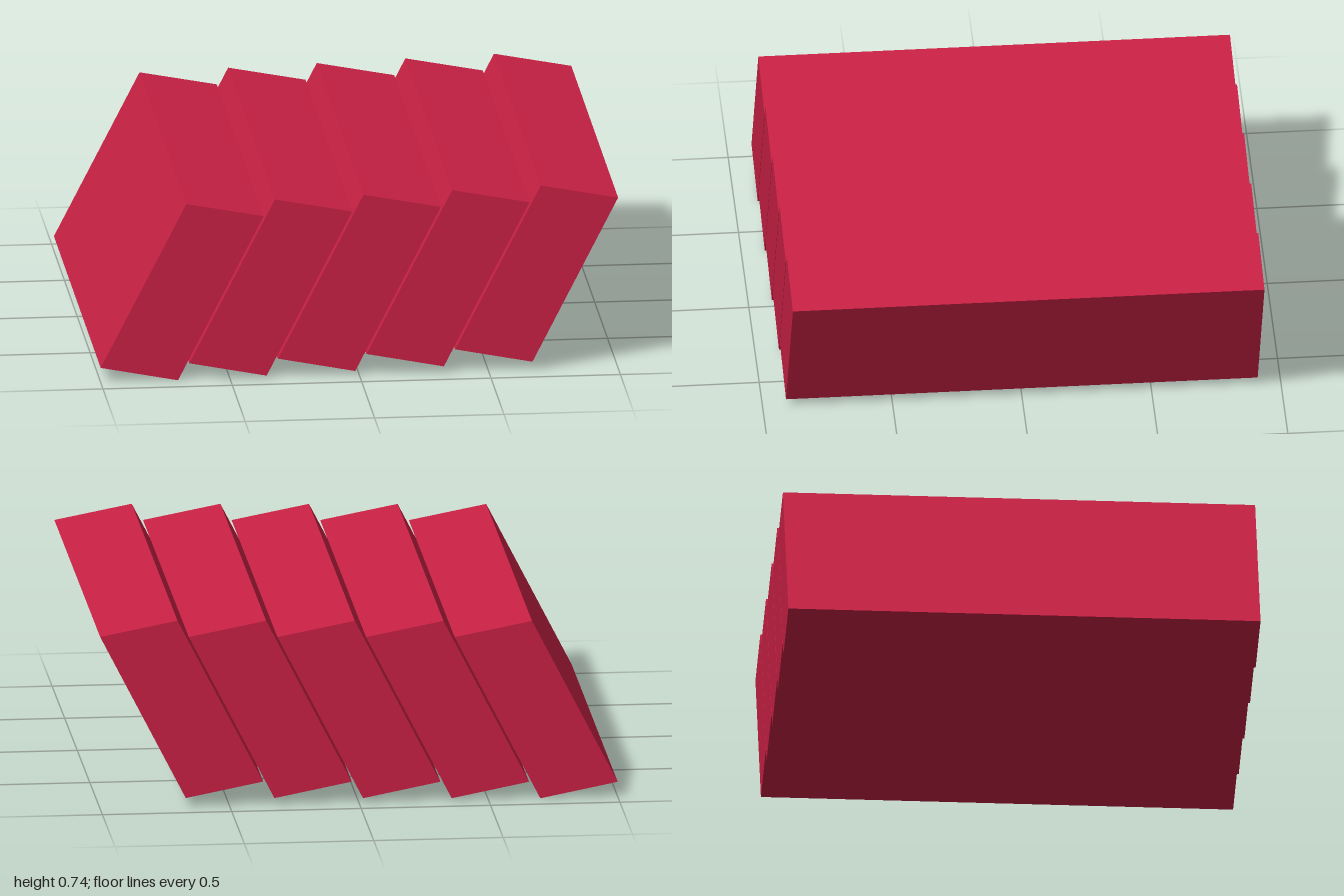
import * as THREE from 'three';

const COUNT = 5;
const DEPTH = 1.82;
const STEP = { x: 0.3425, y: 0.0087 };

export function createModel() {
  const group = new THREE.Group();
  group.name = 'leaningSlabs';
  const crimson = new THREE.MeshStandardMaterial({ color: 0xc92145 });
  crimson.name = 'crimson';

  // Slanted cross-section of one slab, extruded along z
  const profile = new THREE.Shape([
    new THREE.Vector2(-1, 0.058),
    new THREE.Vector2(-0.701, 0),
    new THREE.Vector2(-0.37, 0.648),
    new THREE.Vector2(-0.669, 0.705),
  ]);
  const geometry = new THREE.ExtrudeGeometry(profile, { depth: DEPTH, bevelEnabled: false });
  geometry.translate(0, 0, -DEPTH / 2);

  // Row of slabs, each a little higher than the last, with a thin gap between
  for (let i = 0; i < COUNT; i++) {
    const slab = new THREE.Mesh(geometry, crimson);
    slab.name = `slab${i + 1}`;
    slab.position.set(i * STEP.x, i * STEP.y, 0);
    group.add(slab);
  }
  return group;
}
